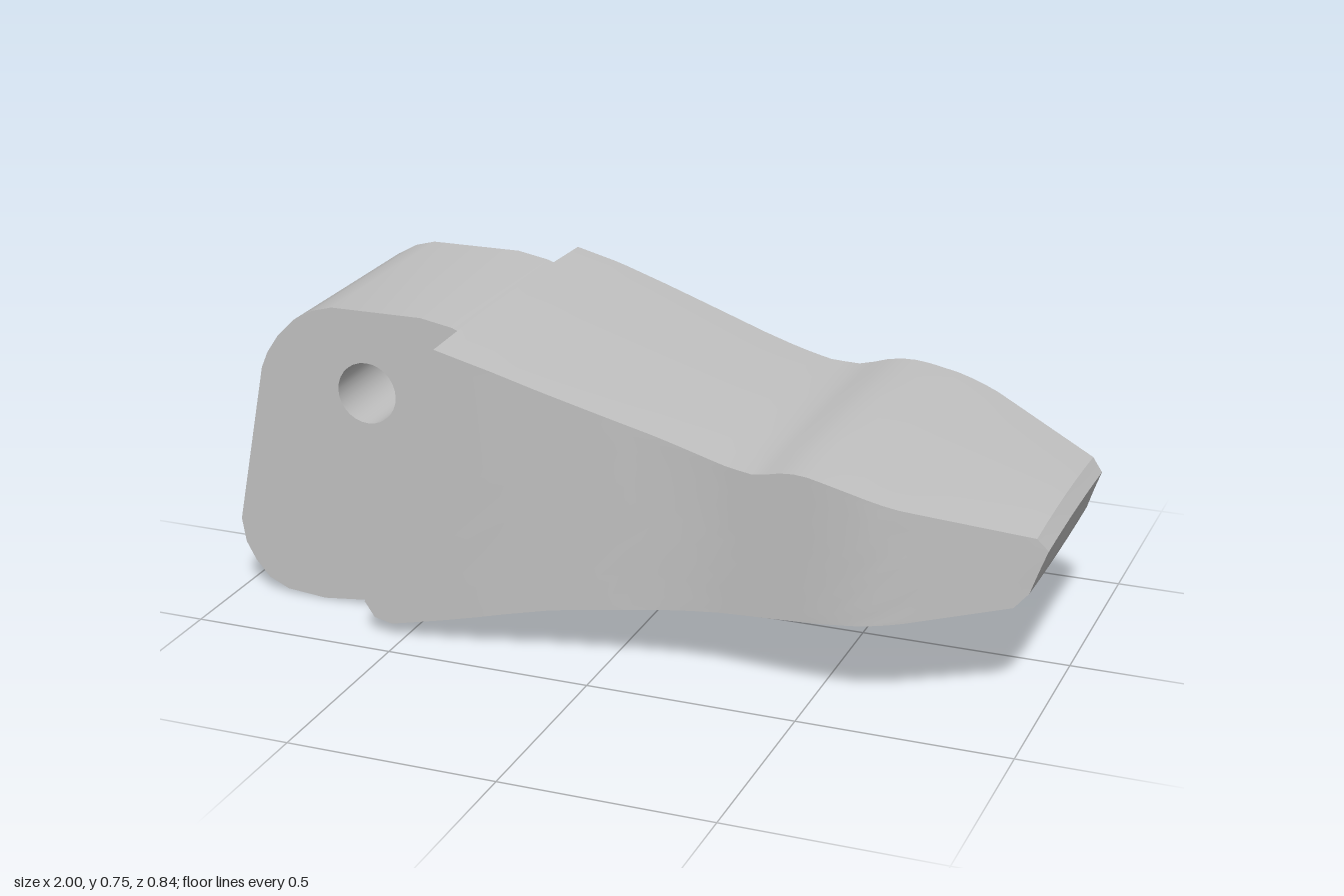
import * as THREE from 'three';
import { toCreasedNormals } from 'three/addons/utils/BufferGeometryUtils.js';

// Piecewise-linear lookup through [key, value] pairs
function lookup(keys, t) {
  let i = 0;
  while (i < keys.length - 2 && t > keys[i + 1][0]) i++;
  const [a, b] = [keys[i], keys[i + 1]];
  return a[1] + (b[1] - a[1]) * (t - a[0]) / (b[0] - a[0]);
}

// Tooth outline: top and bottom height, half width along x
const TOP = [[-0.6, 0.79], [-0.4, 0.735], [-0.28, 0.705], [0.05, 0.605], [0.2, 0.56], [0.28, 0.538], [0.35, 0.53],
  [0.39, 0.538], [0.44, 0.552], [0.5, 0.55], [0.6, 0.528], [0.97, 0.42], [1, 0.412]];
const BOTTOM = [[-0.6, 0.02], [-0.53, 0.035], [-0.4, 0.065], [-0.25, 0.103], [-0.13, 0.13], [0, 0.147], [0.2, 0.17], [0.93, 0.257]];
const WIDTH = [[-0.6, 0.42], [-0.3, 0.42], [-0.15, 0.41], [0, 0.394], [0.12, 0.38], [0.2, 0.377], [0.28, 0.38],
  [0.4, 0.4], [0.52, 0.418], [0.6, 0.422], [0.65, 0.418], [0.7, 0.403], [0.97, 0.263], [1, 0.25]];
// x of the rear and tip edges, by height fraction
const REAR = [[0, -0.53], [0.026, -0.575], [0.08, -0.6], [0.18, -0.59], [0.5, -0.4], [0.6, -0.375],
  [0.727, -0.38], [0.955, -0.42], [1, -0.4]];
const TIP = [[0, 0.93], [0.18, 0.96], [0.84, 0.995], [1, 0.97]];

const ROWS = [0, 0.026, 0.08, 0.18, 0.34, 0.5, 0.6, 0.727, 0.84, 0.955, 1];
const COLS = Array.from({ length: 41 }, (_, i) => i / 40);
const ACROSS = [-1, -0.67, -0.33, 0, 0.33, 0.67, 1];

// Point of the tooth: s rear to tip, v bottom to top, k across the width
function toothPoint(s, v, k) {
  const x = THREE.MathUtils.lerp(lookup(REAR, v), lookup(TIP, v), s);
  const crown = 0.008 * (1 - k * k) * (2 * v - 1);
  const y = THREE.MathUtils.lerp(lookup(BOTTOM, x), lookup(TOP, x), v) + crown;
  return [x, y, k * lookup(WIDTH, x)];
}

function toothGeometry() {
  const pos = [];
  const grid = (us, vs, f) => {
    for (let i = 0; i < us.length - 1; i++) {
      for (let j = 0; j < vs.length - 1; j++) {
        const a = f(us[i], vs[j]), b = f(us[i + 1], vs[j]);
        const c = f(us[i + 1], vs[j + 1]), d = f(us[i], vs[j + 1]);
        pos.push(...a, ...b, ...c, ...a, ...c, ...d);
      }
    }
  };
  grid(COLS, ROWS, (s, v) => toothPoint(s, v, 1));      // front side
  grid(ROWS, COLS, (v, s) => toothPoint(s, v, -1));     // back side
  grid(ACROSS, COLS, (k, s) => toothPoint(s, 1, k));    // top
  grid(COLS, ACROSS, (s, k) => toothPoint(s, 0, k));    // underside
  grid(ROWS, ACROSS, (v, k) => toothPoint(1, v, k));    // tip
  grid(ACROSS, ROWS, (k, v) => toothPoint(0, v, k));    // rear wall
  const geo = new THREE.BufferGeometry();
  geo.setAttribute('position', new THREE.Float32BufferAttribute(pos, 3));
  return toCreasedNormals(geo, 0.5);
}

// Mounting tang: extruded outline with a pin hole, ending inside the tooth
function tangGeometry() {
  const outline = [[-1, 0.18], [-0.99, 0.12], [-0.965, 0.075], [-0.93, 0.035], [-0.88, 0.012], [-0.78, 0.003], [-0.52, 0.032],
    [-0.4, 0.075], [-0.3, 0.12], [-0.3, 0.68], [-0.36, 0.717], [-0.42, 0.74], [-0.5, 0.754], [-0.73, 0.752],
    [-0.78, 0.738], [-0.83, 0.71], [-0.875, 0.665], [-0.905, 0.62], [-0.922, 0.58]];
  const shape = new THREE.Shape(outline.map(([x, y]) => new THREE.Vector2(x, y)));
  shape.holes.push(new THREE.Path().absarc(-0.645, 0.55, 0.075, 0, Math.PI * 2, true));
  const geo = new THREE.ExtrudeGeometry(shape, { depth: 0.56, bevelEnabled: false, curveSegments: 14 });
  geo.translate(0, 0, -0.28);
  return toCreasedNormals(geo, 0.6);
}

export function createModel() {
  const steel = new THREE.MeshStandardMaterial({ color: 0xc0c0c0 });
  steel.name = 'grey steel';

  const group = new THREE.Group();
  group.name = 'bucketTooth';
  const tooth = new THREE.Mesh(toothGeometry(), steel);
  tooth.name = 'toothBody';
  const tang = new THREE.Mesh(tangGeometry(), steel);
  tang.name = 'mountingTang';
  group.add(tooth, tang);
  return group;
}
